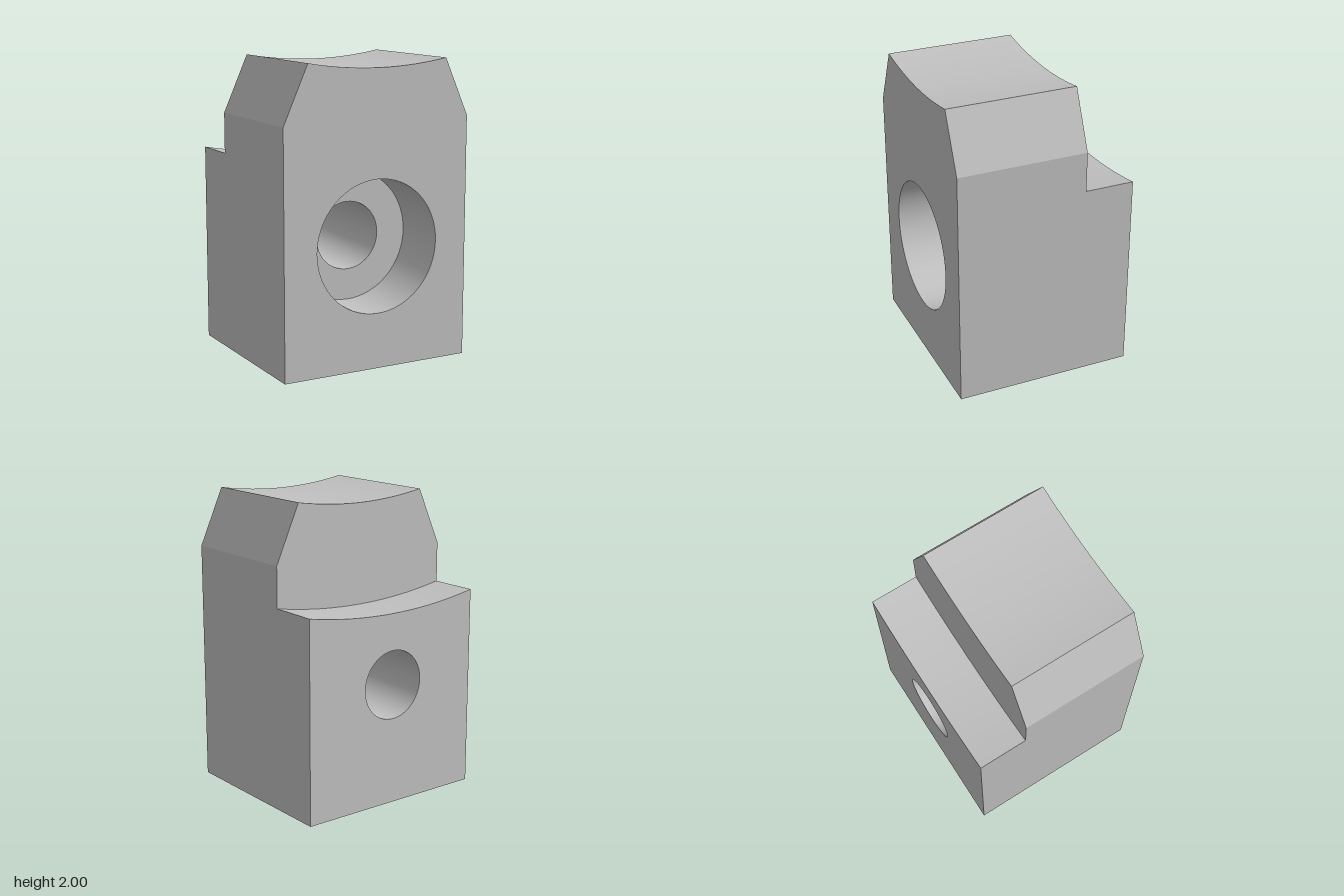
import * as THREE from 'three';
import { mergeGeometries, toCreasedNormals } from 'three/addons/utils/BufferGeometryUtils.js';

const W = 0.67, FRONT = 0.605, BACK = -0.605, STEP = -0.27, BORE_FLOOR = 0.205;
const HOLE_Y = 0.81, BORE_R = 0.44, HOLE_R = 0.23, ARC_Y = 4.755;

const v = (x, y) => new THREE.Vector2(x, y);

// Concave arc from +x to -x, all arcs sharing one centre above the block
function arc(halfWidth, edgeY, n = 24) {
  const r = Math.hypot(halfWidth, ARC_Y - edgeY);
  const a = Math.asin(halfWidth / r);
  return Array.from({ length: n + 1 }, (_, i) => {
    const t = a - (2 * a * i) / n;
    return v(r * Math.sin(t), ARC_Y - r * Math.cos(t));
  });
}

// Clockwise circle, so that its walls face inwards
function circle(r, n = 64) {
  return Array.from({ length: n }, (_, i) => {
    const t = (-i / n) * Math.PI * 2;
    return v(r * Math.cos(t), HOLE_Y + r * Math.sin(t));
  });
}

// Closed band of walls along a loop, between two depths
function walls(loop, z0, z1) {
  const pos = [];
  loop.forEach((a, i) => {
    const b = loop[(i + 1) % loop.length];
    pos.push(a.x, a.y, z0, b.x, b.y, z0, b.x, b.y, z1);
    pos.push(a.x, a.y, z0, b.x, b.y, z1, a.x, a.y, z1);
  });
  const g = new THREE.BufferGeometry();
  g.setAttribute('position', new THREE.Float32BufferAttribute(pos, 3));
  return toCreasedNormals(g, 0.35);
}

// Flat face at depth z, optionally pierced, facing the front or the back
function face(loop, hole, z, toBack = false) {
  const shape = new THREE.Shape(loop);
  if (hole) shape.holes.push(new THREE.Path(hole));
  let g = new THREE.ShapeGeometry(shape);
  if (toBack) {
    const idx = g.index.array;
    for (let i = 0; i < idx.length; i += 3) [idx[i], idx[i + 1]] = [idx[i + 1], idx[i]];
  }
  g = g.toNonIndexed().translate(0, 0, z);
  g.deleteAttribute('uv');
  g.computeVertexNormals();
  return g;
}

export function createModel() {
  const grey = new THREE.MeshStandardMaterial({ color: 0xc0c0c0 });
  grey.name = 'grey metal';
  const group = new THREE.Group();
  group.name = 'clampJaw';
  const add = (name, ...parts) => {
    const mesh = new THREE.Mesh(mergeGeometries(parts), grey);
    mesh.name = name;
    group.add(mesh);
  };

  const topArc = arc(0.5, 2), shelfArc = arc(W, 1.35);
  const tall = [v(-W, 0), v(W, 0), v(W, 1.62), ...topArc, v(-W, 1.62)];
  const low = [v(-W, 0), v(W, 0), ...shelfArc];
  const aboveShelf = [...shelfArc.slice().reverse(), v(W, 1.62), ...topArc, v(-W, 1.62)];
  const bore = circle(BORE_R), hole = circle(HOLE_R);

  // Tall body with chamfered shoulders and hollowed top
  add('body', walls(tall, STEP, FRONT), face(tall, bore, FRONT), face(aboveShelf, null, STEP, true));
  // Lower ledge at the back
  add('backLedge', walls(low, BACK, STEP), face(low, hole, BACK, true));
  // Wide blind bore at the front, with its ring-shaped floor
  add('counterbore', walls(bore, BORE_FLOOR, FRONT), face(bore.slice().reverse(), hole, BORE_FLOOR));
  // Narrow hole through to the back
  add('boltHole', walls(hole, BACK, BORE_FLOOR));
  return group;
}
